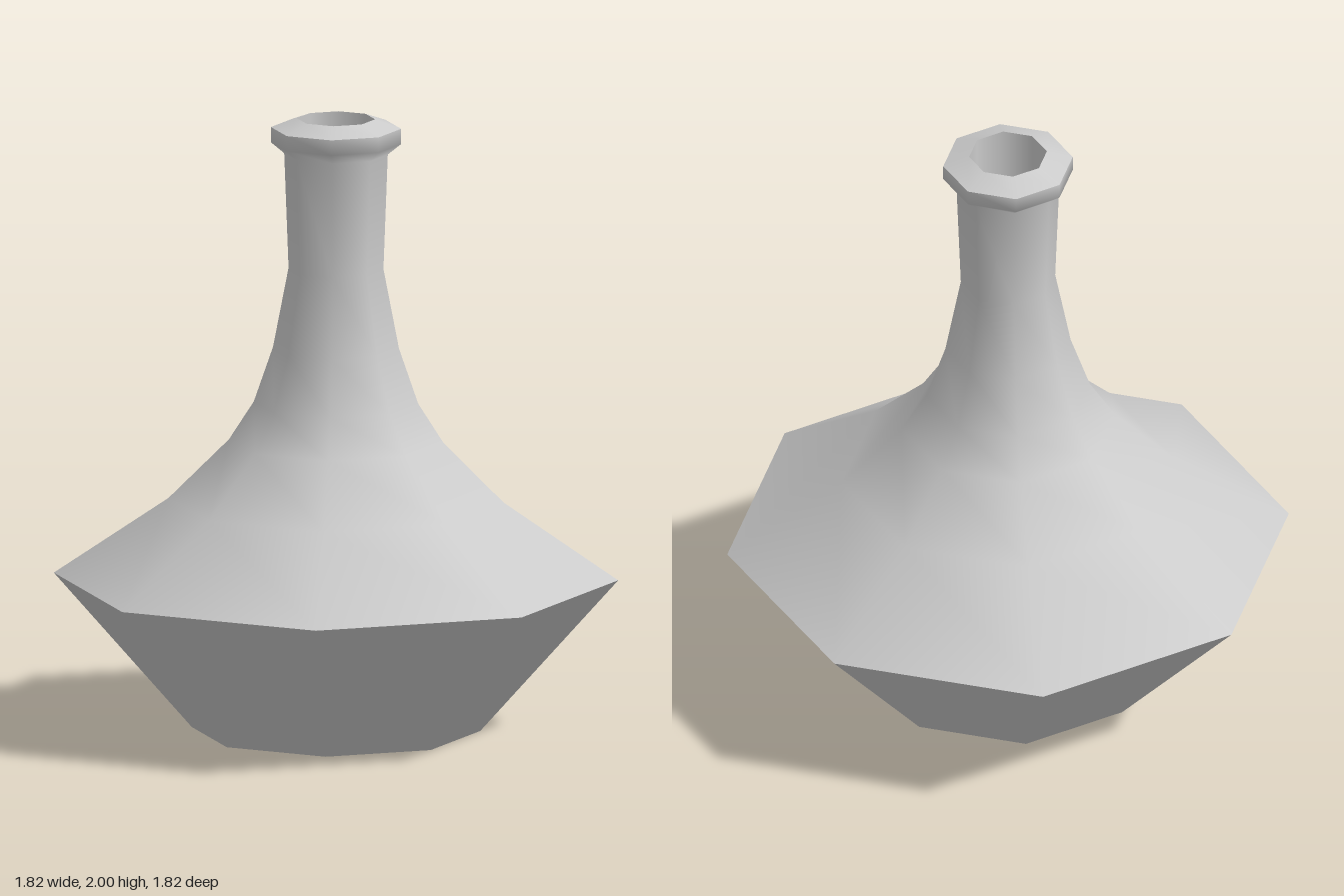
import * as THREE from 'three';

const SIDES = 8;

export function createModel() {
  const group = new THREE.Group();
  group.name = 'flask';
  const material = new THREE.MeshStandardMaterial({ color: 0xcccccc, side: THREE.DoubleSide });

  // Each section is smooth in itself; sections meet at sharp edges.
  const section = (name, profile) => {
    const points = profile.map(([r, y]) => new THREE.Vector2(r, y));
    const mesh = new THREE.Mesh(new THREE.LatheGeometry(points, SIDES), material);
    mesh.name = name;
    group.add(mesh);
  };

  // Flat underside
  section('base', [[0, 0], [0.465, 0]]);

  // Flaring lower body
  section('lowerBody', [[0.465, 0], [0.91, 0.5]]);

  // Shoulder sweeping up into the neck and the outer lip
  section('shoulderAndNeck', [
    [0.91, 0.5], [0.54, 0.75], [0.345, 0.945], [0.265, 1.07], [0.203, 1.25],
    [0.153, 1.51], [0.167, 1.885], [0.21, 1.92], [0.21, 1.97],
  ]);

  // Sloping top of the lip
  section('lipTop', [[0.21, 1.97], [0.126, 2.0]]);

  // Hollow mouth
  section('mouthWall', [[0.126, 2.0], [0.126, 1.6]]);
  section('mouthFloor', [[0.126, 1.6], [0, 1.6]]);

  return group;
}
